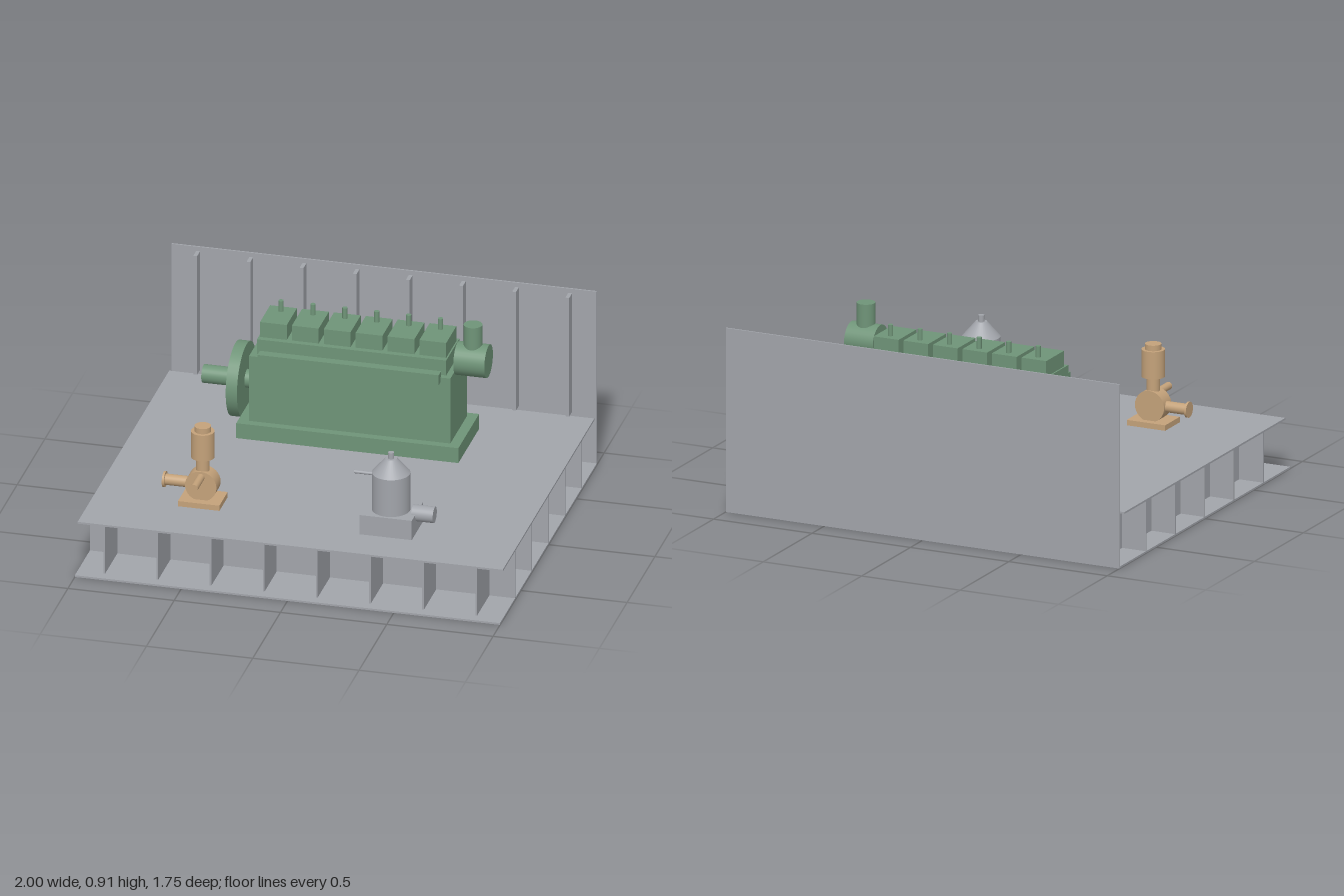
import * as THREE from 'three';

export function createModel() {
  const model = new THREE.Group();
  model.name = 'engineRoom';
  const paint = (name, color) => {
    const m = new THREE.MeshStandardMaterial({ color });
    m.name = name;
    return m;
  };
  const steel = paint('greySteel', 0xa2a5ab);
  const green = paint('engineGreen', 0x6f9478);
  const tan = paint('pumpTan', 0xc4a27a);

  const group = (name) => {
    const g = new THREE.Group();
    g.name = name;
    model.add(g);
    return g;
  };
  // Box given by its limits along each axis
  const box = (parent, name, mat, [x0, x1], [y0, y1], [z0, z1]) => {
    const mesh = new THREE.Mesh(new THREE.BoxGeometry(x1 - x0, y1 - y0, z1 - z0), mat);
    mesh.position.set((x0 + x1) / 2, (y0 + y1) / 2, (z0 + z1) / 2);
    mesh.name = name;
    parent.add(mesh);
  };
  // Cylinder or cone running from point a to point b
  const rod = (parent, name, mat, a, b, r0, r1 = r0) => {
    const from = new THREE.Vector3(...a), to = new THREE.Vector3(...b);
    const dir = to.clone().sub(from);
    const mesh = new THREE.Mesh(new THREE.CylinderGeometry(r1, r0, dir.length(), 32), mat);
    mesh.position.copy(from).add(to).multiplyScalar(0.5);
    mesh.quaternion.setFromUnitVectors(new THREE.Vector3(0, 1, 0), dir.normalize());
    mesh.name = name;
    parent.add(mesh);
  };

  // Double bottom: two plates with a grid of floors and girders between
  const hull = group('hull');
  box(hull, 'bottomPlate', steel, [-1, 1], [0, 0.009], [-0.875, 0.875]);
  box(hull, 'deckPlate', steel, [-1, 1], [0.246, 0.255], [-0.825, 0.825]);
  box(hull, 'rearWall', steel, [-1, 1], [0, 0.875], [-0.875, -0.867]);
  for (let i = 0; i < 8; i++) {
    const x = -0.875 + i * 0.25;
    box(hull, 'floorPlate', steel, [x - 0.004, x + 0.004], [0.009, 0.246], [-0.825, 0.825]);
    box(hull, 'wallStiffener', steel, [x - 0.009, x + 0.009], [0.255, 0.853], [-0.868, -0.815]);
  }
  for (let i = -2; i <= 2; i++) {
    const z = i * 0.3;
    box(hull, 'girder', steel, [-1, 1], [0.009, 0.246], [z - 0.004, z + 0.004]);
  }

  // Main engine: stepped block with six cylinder heads
  const engine = group('mainEngine');
  box(engine, 'bedplate', green, [-0.525, 0.52], [0.255, 0.33], [-0.587, -0.213]);
  box(engine, 'block', green, [-0.475, 0.472], [0.33, 0.657], [-0.548, -0.252]);
  box(engine, 'upperBlock', green, [-0.445, 0.445], [0.657, 0.732], [-0.52, -0.28]);
  for (let i = 0; i < 6; i++) {
    const x = -0.375 + i * 0.15;
    box(engine, 'cylinderHead', green, [x - 0.063, x + 0.063], [0.732, 0.807], [-0.492, -0.308]);
    rod(engine, 'injector', green, [x, 0.807, -0.447], [x, 0.86, -0.447], 0.012);
  }
  box(engine, 'manifold', green, [-0.428, 0.425], [0.632, 0.682], [-0.267, -0.222]);
  box(engine, 'rearCooler', green, [-0.25, 0.247], [0.381, 0.48], [-0.608, -0.548]);
  rod(engine, 'flywheel', green, [-0.578, 0.467, -0.4], [-0.525, 0.467, -0.4], 0.175);
  rod(engine, 'outputShaft', green, [-0.728, 0.47, -0.402], [-0.475, 0.47, -0.402], 0.043);
  rod(engine, 'turbocharger', green, [0.487, 0.731, -0.325], [0.633, 0.731, -0.325], 0.078);
  rod(engine, 'exhaustStack', green, [0.56, 0.74, -0.325], [0.56, 0.908, -0.325], 0.043);

  // Separator: bowl with conical hood, inlet pipe and drive motor
  const separator = group('separator');
  const sx = 0.397, sz = 0.527;
  box(separator, 'separatorBase', steel, [0.275, 0.52], [0.255, 0.352], [sz - 0.1, sz + 0.1]);
  rod(separator, 'bowl', steel, [sx, 0.352, sz], [sx, 0.537, sz], 0.088);
  rod(separator, 'hood', steel, [sx, 0.537, sz], [sx, 0.608, sz], 0.088, 0.027);
  rod(separator, 'hoodCap', steel, [sx, 0.608, sz], [sx, 0.638, sz], 0.014);
  rod(separator, 'inletPipe', steel, [0.207, 0.487, 0.461], [sx, 0.487, 0.461], 0.008);
  rod(separator, 'driveMotor', steel, [0.5, 0.346, sz], [0.602, 0.346, sz], 0.038);

  // Pump: volute casing on a foot, vertical motor above
  const pump = group('pump');
  const px = -0.503, pz = 0.473;
  box(pump, 'pumpBase', tan, [-0.6, -0.405], [0.255, 0.281], [0.4, 0.55]);
  rod(pump, 'volute', tan, [px, 0.348, 0.435], [px, 0.348, 0.511], 0.074);
  rod(pump, 'coupling', tan, [px, 0.4, pz], [px, 0.482, pz], 0.031);
  rod(pump, 'pumpMotor', tan, [px, 0.482, pz], [px, 0.612, pz], 0.054);
  rod(pump, 'motorCap', tan, [px, 0.612, pz], [px, 0.638, pz], 0.038);
  rod(pump, 'suctionPipe', tan, [-0.682, 0.347, pz], [px, 0.347, pz], 0.026);
  rod(pump, 'suctionFlange', tan, [-0.687, 0.347, pz], [-0.677, 0.347, pz], 0.037);
  rod(pump, 'dischargePipe', tan, [px, 0.394, pz], [px, 0.394, 0.632], 0.018);

  return model;
}
